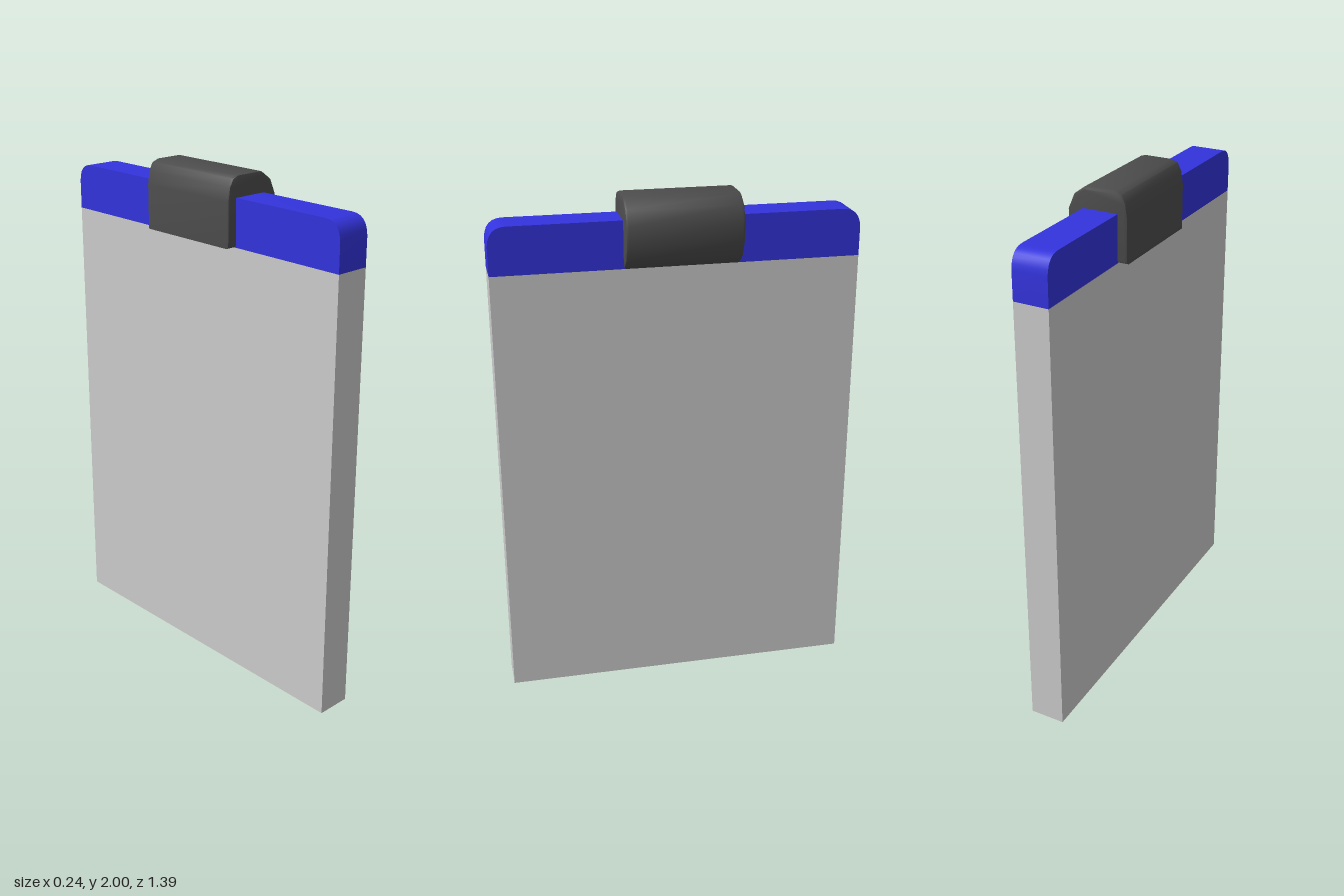
import * as THREE from 'three';
import { toCreasedNormals } from 'three/addons/utils/BufferGeometryUtils.js';

const HALF = 0.695;              // half width along z
const X0 = -0.082, X1 = 0.055;   // faces of the slab
const SEAM = 1.74, CAP_TOP = 1.92;

function part(name, geometry, color) {
  const mesh = new THREE.Mesh(geometry, new THREE.MeshStandardMaterial({ color }));
  mesh.name = name;
  return mesh;
}

// Plain upright slab
function panel() {
  const geo = new THREE.BoxGeometry(X1 - X0, SEAM, HALF * 2);
  geo.translate((X0 + X1) / 2, SEAM / 2, 0);
  return part('panel', geo, 0xcccccc);
}

// Coloured top strip with rounded outer corners, drawn in the z-y plane
function topStrip() {
  const r = 0.07;
  const s = new THREE.Shape();
  s.moveTo(-HALF, SEAM);
  s.lineTo(HALF, SEAM);
  s.lineTo(HALF, CAP_TOP - r);
  s.quadraticCurveTo(HALF - 0.005, CAP_TOP, HALF - r, CAP_TOP);
  s.lineTo(-HALF + r, CAP_TOP);
  s.quadraticCurveTo(-HALF + 0.005, CAP_TOP, -HALF, CAP_TOP - r);
  s.closePath();
  const geo = new THREE.ExtrudeGeometry(s, { depth: X1 - X0, bevelEnabled: false, curveSegments: 6 });
  geo.rotateY(Math.PI / 2);
  geo.translate(X0, 0, 0);
  return part('topStrip', toCreasedNormals(geo, 0.6), 0x3333dd);
}

// Dark clip: flat on one side, bulging on the other, with softened ends
function clip() {
  const z0 = -0.235, z1 = 0.205, b = 0.01;
  const profile = [
    [-0.12, SEAM], [0.055, SEAM], [0.094, 1.775], [0.116, 1.835], [0.118, 1.91],
    [0.094, 1.965], [0.053, 1.995], [0.035, 2], [-0.07, 2], [-0.096, 1.99],
    [-0.112, 1.96], [-0.12, 1.91],
  ].map(([x, y]) => new THREE.Vector2(x, y));
  const geo = new THREE.ExtrudeGeometry(new THREE.Shape(profile), {
    depth: z1 - z0 - 2 * b, bevelThickness: b, bevelSize: b, bevelOffset: -b, bevelSegments: 2,
  });
  geo.translate(0, 0, z0 + b);
  return part('clip', toCreasedNormals(geo, 0.75), 0x4c4c4c);
}

export function createModel() {
  const group = new THREE.Group();
  group.name = 'clippedPanel';
  group.add(panel(), topStrip(), clip());
  return group;
}
